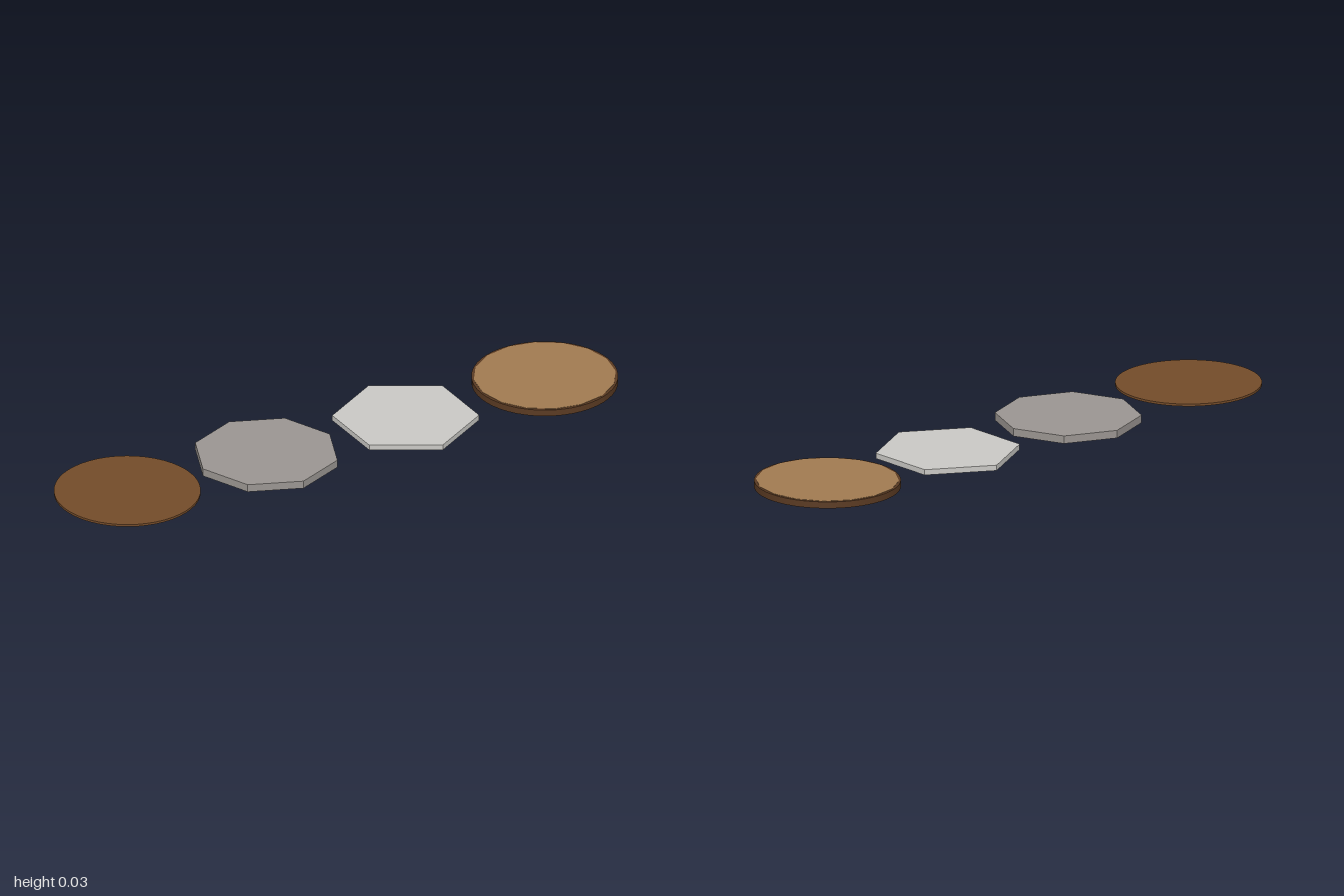
import * as THREE from 'three';

const material = (name, color, flatShading = false) => {
  const m = new THREE.MeshStandardMaterial({ color, flatShading });
  m.name = name;
  return m;
};

// Upright prism or disc standing between two heights
function disc(name, mat, radius, bottom, top, sides) {
  const geometry = new THREE.CylinderGeometry(radius, radius, top - bottom, sides);
  geometry.translate(0, (top + bottom) / 2, 0);
  const mesh = new THREE.Mesh(geometry, mat);
  mesh.name = name;
  return mesh;
}

export function createModel() {
  const wood = material('brownWood', 0x734b29);
  const bark = material('darkBark', 0x5a3a22);
  const cutWood = material('cutWood', 0xa07a50);
  const darkStone = material('darkStone', 0x9a9591, true);
  const paleStone = material('paleStone', 0xc9c8c4, true);

  const model = new THREE.Group();
  model.name = 'steppingDiscs';
  const R = 0.233;

  // Thin wooden disc raised on a ring of six pegs
  const pegged = new THREE.Group();
  pegged.name = 'peggedDisc';
  pegged.position.x = -0.767;
  pegged.add(disc('plate', wood, R, 0.016, 0.0235, 48));
  for (let i = 0; i < 6; i++) {
    const a = (i * Math.PI) / 3;
    const peg = disc('peg', wood, 0.008, 0, 0.016, 8);
    peg.position.set(Math.sin(a) * 0.165, 0, Math.cos(a) * 0.165);
    pegged.add(peg);
  }

  // Octagonal and hexagonal stone slabs
  const octagon = disc('octagonSlab', darkStone, R, 0, 0.0255, 8);
  octagon.position.x = -0.256;
  const hexagon = disc('hexagonSlab', paleStone, R, 0, 0.018, 6);
  hexagon.position.x = 0.256;

  // Log slice: bark rim with the cut wood just proud on both faces
  const slice = new THREE.Group();
  slice.name = 'logSlice';
  slice.position.x = 0.767;
  slice.add(disc('barkRim', bark, R, 0.001, 0.0225, 48));
  slice.add(disc('cutFaces', cutWood, 0.227, 0, 0.0235, 16));

  model.add(pegged, octagon, hexagon, slice);
  return model;
}
